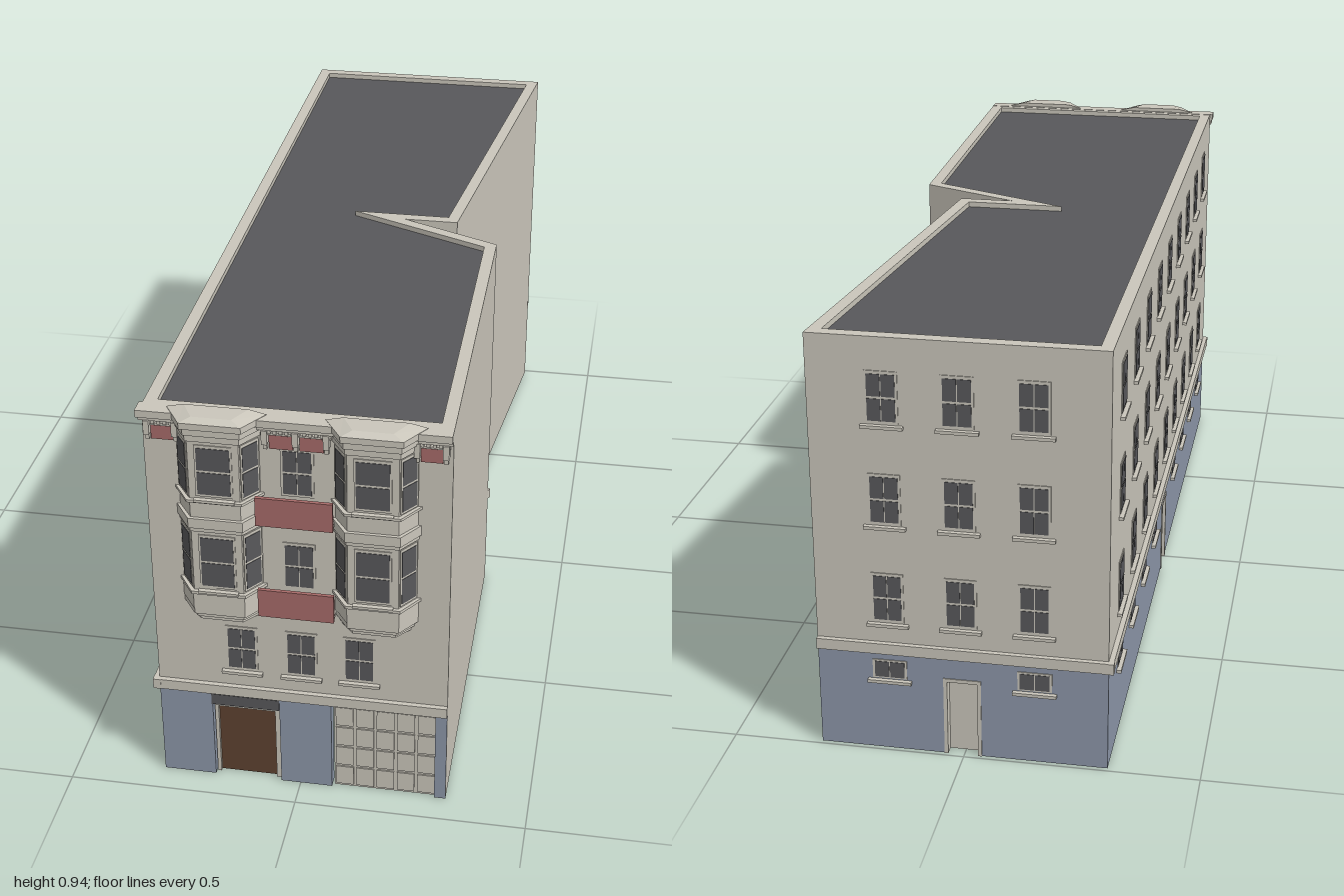
import * as THREE from 'three';

const mat = (name, color, extra = {}) => Object.assign(new THREE.MeshStandardMaterial({ color, ...extra }), { name });

export function createModel() {
  const cream = mat('cream plaster', 0xcac6bb);
  const blue = mat('blue base', 0x8c96a8);
  const dark = mat('dark glass and roof', 0x58585b);
  const red = mat('red panel', 0xa76b69);
  const brown = mat('brown wood', 0x5e4230);
  const root = new THREE.Group();
  root.name = 'building';
  const T = 0.027, BASE = 0.23, TOP = 0.93;

  const add = (parent, name, geo, m) => {
    const mesh = new THREE.Mesh(geo, m);
    mesh.name = name;
    parent.add(mesh);
    return mesh;
  };
  // box given by its limits
  const box = (parent, name, m, x0, x1, y0, y1, z0, z1) => {
    const b = add(parent, name, new THREE.BoxGeometry(x1 - x0, y1 - y0, z1 - z0), m);
    b.position.set((x0 + x1) / 2, (y0 + y1) / 2, (z0 + z1) / 2);
    return b;
  };
  const group = (parent, name, x = 0, y = 0, z = 0, ry = 0) => {
    const g = new THREE.Group();
    g.name = name;
    g.position.set(x, y, z);
    g.rotation.y = ry;
    parent.add(g);
    return g;
  };

  // sash window: frame, dark panes, sill
  function win(parent, x, y, w, h, cols = 2, rows = 2, sill = true) {
    const g = group(parent, 'window', x, y, 0);
    box(g, 'windowFrame', cream, -w / 2 - 0.004, w / 2 + 0.004, -0.003, h + 0.004, -0.004, 0.002);
    const cw = w / cols, ch = h / rows, gx = cols > 1 ? 0.001 : 0, gy = rows > 1 ? 0.0025 : 0;
    for (let i = 0; i < cols; i++) for (let j = 0; j < rows; j++)
      box(g, 'pane', dark, -w / 2 + i * cw + gx, -w / 2 + (i + 1) * cw - gx, j * ch + gy, (j + 1) * ch - gy, 0, 0.003);
    if (sill) box(g, 'sill', cream, -w / 2 - 0.014, w / 2 + 0.014, -0.013, -0.006, -0.002, 0.01);
  }

  // plan outline as [x, z]; every edge faces outward
  const P = [[-0.305, 0.935], [0.32, 0.935], [0.31, 0.085], [0.08, -0.02], [0.205, -0.02], [0.31, -0.99], [-0.305, -0.99]]
    .map(p => new THREE.Vector2(...p));
  const N = P.length;
  const dir = P.map((p, i) => P[(i + 1) % N].clone().sub(p).normalize());
  const nor = dir.map(d => new THREE.Vector2(-d.y, d.x));
  const inner = P.map((p, i) => {
    const a = nor[(i + N - 1) % N], b = nor[i];
    return p.clone().addScaledVector(a.clone().add(b), -T / (1 + a.dot(b)));
  });

  // mitred wall slab with door notches [centre, width, height]
  function slab(parent, name, i, y0, y1, m, doors = []) {
    const j = (i + 1) % N, L = P[i].distanceTo(P[j]);
    const sA = inner[i].clone().sub(P[i]).dot(dir[i]), sB = inner[j].clone().sub(P[j]).dot(dir[i]);
    const pts = [[0, y0]];
    for (const [c, w, h] of doors) pts.push([c - w / 2, y0], [c - w / 2, h], [c + w / 2, h], [c + w / 2, y0]);
    pts.push([L, y0], [L, y1], [0, y1]);
    const geo = new THREE.ExtrudeGeometry(new THREE.Shape(pts.map(p => new THREE.Vector2(...p))), { depth: T, bevelEnabled: false });
    geo.translate(0, 0, -T);
    const a = geo.attributes.position;
    for (let k = 0; k < a.count; k++) if (a.getZ(k) < -T / 2) {
      if (a.getX(k) < 1e-4) a.setX(k, sA);
      else if (a.getX(k) > L - 1e-4) a.setX(k, L + sB);
    }
    geo.computeVertexNormals();
    add(parent, name, geo, m);
    return L;
  }

  // per-edge features: doors, and how far the band runs past each end
  const edges = [
    { name: 'frontWall', doors: [[0.1885, 0.147, 0.222], [0.4875, 0.225, 0.222]], band: [0.012, 0] },
    { name: 'rightFrontWall' },
    { name: 'notchWall', doors: [[0.108, 0.08, 0.19]], band: [0, 0], leaf: dark },
    { name: 'notchReturnWall' },
    { name: 'rightBackWall' },
    { name: 'backWall', doors: [[0.3075, 0.08, 0.18]], band: [0, 0.012], leaf: cream },
    { name: 'leftWall', doors: [[0.957, 0.08, 0.18]], band: [0.012, 0.012], leaf: dark },
  ];
  const walls = edges.map((e, i) => {
    const g = group(root, e.name, P[i].x, 0, P[i].y, Math.atan2(-dir[i].y, dir[i].x));
    if (!e.band) { slab(g, 'plainWall', i, 0, TOP, cream); return g; }
    const L = slab(g, 'baseWall', i, 0, BASE, blue, e.doors);
    slab(g, 'upperWall', i, BASE, TOP, cream);
    box(g, 'band', cream, -e.band[0], L + e.band[1], BASE, 0.254, -0.005, 0.011);
    if (e.leaf) {
      const [c, w, h] = e.doors[0];
      box(g, 'doorLeaf', e.leaf, c - w / 2, c + w / 2, 0, h, -0.026, -0.02);
      for (const s of [-1, 1]) box(g, 'doorJamb', cream, c + s * (w / 2 - 0.004) - 0.004, c + s * (w / 2 - 0.004) + 0.004, 0, h, -0.02, 0.002);
      box(g, 'doorHead', cream, c - w / 2, c + w / 2, h - 0.008, h, -0.02, 0.002);
    }
    return g;
  });

  // side and back windows
  const rows = [0.305, 0.528, 0.75];
  for (const y of rows) {
    win(walls[2], 0.108, y, 0.06, 0.105);
    for (const f of [0.25, 0.5, 0.75]) win(walls[5], 0.615 * f, y, 0.06, 0.105);
    for (let i = 0; i < 9; i++) win(walls[6], 0.165 + 0.198 * i, y, 0.06, 0.105);
  }
  for (const f of [0.25, 0.75]) win(walls[5], 0.615 * f, 0.172, 0.065, 0.036, 2, 1);
  for (let i = 0; i < 9; i++) if (i !== 4) win(walls[6], 0.165 + 0.198 * i, 0.172, 0.065, 0.036, 2, 1);

  // roof deck inside the parapet
  const deck = new THREE.ShapeGeometry(new THREE.Shape(inner.map(p => new THREE.Vector2(p.x, -p.y))));
  const roof = add(root, 'roof', deck, mat('roof deck', 0x58585b, { side: THREE.DoubleSide }));
  roof.rotation.x = -Math.PI / 2;
  roof.position.y = 0.918;

  // front details, measured from the wall face
  const F = group(root, 'frontDetails', 0, 0, 0.935);
  const MID = 0.008;
  for (const x of [-0.12, MID, 0.132]) win(F, x, 0.3, 0.06, 0.105);
  for (const y of [0.525, 0.75]) win(F, MID, y, 0.06, 0.105, 2, 2, false);

  // entrance with transom and an open inner leaf
  const E = group(F, 'entrance');
  box(E, 'frontDoor', brown, -0.18, -0.055, 0, 0.182, -0.025, -0.018);
  box(E, 'doorBacking', cream, -0.19, -0.043, 0, 0.222, -0.03, -0.025);
  box(E, 'doorPostLeft', cream, -0.188, -0.18, 0, 0.195, -0.025, -0.01);
  box(E, 'doorPostRight', cream, -0.055, -0.043, 0, 0.195, -0.025, -0.01);
  box(E, 'doorHead', cream, -0.188, -0.043, 0.182, 0.195, -0.025, -0.01);
  box(E, 'transom', dark, -0.192, -0.043, 0.195, 0.222, -0.025, 0.002);
  box(E, 'openLeaf', brown, -0.196, -0.19, 0, 0.19, -0.13, -0.03);
  box(E, 'leafGlass', dark, -0.197, -0.189, 0.07, 0.165, -0.11, -0.05);

  // garage door with raised panels
  const G = group(F, 'garageDoor');
  box(G, 'garageSheet', cream, 0.075, 0.3, 0, 0.222, -0.02, -0.008);
  for (let i = 0; i < 5; i++) for (let j = 0; j < 4; j++)
    box(G, 'garagePanel', cream, 0.079 + i * 0.0445, 0.117 + i * 0.0445, 0.006 + j * 0.054, 0.054 + j * 0.054, -0.01, -0.005);

  // bay windows: stacked trapezoid layers [y0, y1, growth]
  const layers = [[0.445, 0.456, -0.012], [0.456, 0.467, -0.005], [0.467, 0.48, 0.002], [0.48, 0.9, 0],
    [0.48, 0.52, 0.003], [0.52, 0.527, 0.008], [0.672, 0.682, 0.003], [0.682, 0.705, 0.007], [0.744, 0.75, 0.008],
    [0.885, 0.9, 0.005], [0.9, 0.918, 0.009], [0.918, 0.932, 0.017]];
  const R = 0.084, H = 0.052, D = 0.044;
  const trapezoid = (y0, y1, g) => {
    const r = R + g, h = H + g * 0.6, d = D + g;
    const s = new THREE.Shape([[-r, 0], [r, 0], [h, -d], [-h, -d]].reverse().map(p => new THREE.Vector2(...p)));
    return new THREE.ExtrudeGeometry(s, { depth: y1 - y0, bevelEnabled: false }).rotateX(-Math.PI / 2).translate(0, y0, 0);
  };
  for (const s of [-1, 1]) {
    const B = group(F, 'bay', MID + s * 0.16, 0, 0);
    for (const [y0, y1, g] of layers) add(B, 'bayLayer', trapezoid(y0, y1, g), cream);
    // sloped cap
    const cap = trapezoid(0.932, 0.94, 0.017), a = cap.attributes.position;
    for (let k = 0; k < a.count; k++) if (a.getY(k) > 0.936) { a.setX(k, a.getX(k) * 0.65); a.setZ(k, a.getZ(k) * 0.75); }
    cap.computeVertexNormals();
    add(B, 'bayCap', cap, cream);
    const front = group(B, 'bayFront', 0, 0, D);
    const sides = [-1, 1].map(k => group(B, 'baySide', k * (R + H) / 2, 0, D / 2, k * Math.atan2(D, R - H)));
    for (const [y, h] of [[0.538, 0.122], [0.76, 0.112]]) {
      win(front, 0, y, 0.068, h, 1, 2, false);
      box(front, 'baySill', cream, -0.042, 0.042, y - 0.014, y - 0.008, 0, 0.01);
      for (const g of sides) win(g, 0, y - 0.004, 0.04, h + 0.008, 1, 2, false);
    }
  }

  // balconies between the bays
  for (const y of [0.472, 0.695]) {
    box(F, 'balconyPanel', red, -0.072, 0.086, y, y + 0.066, 0.033, 0.041);
    box(F, 'balconyFloor', cream, -0.07, 0.084, y - 0.003, y + 0.004, 0, 0.036);
  }

  // cornice, dentils, brackets and frieze panels
  box(F, 'cornice', cream, -0.312, 0.32, 0.915, 0.931, -0.01, 0.025);
  box(F, 'corniceMoulding', cream, -0.309, 0.32, 0.903, 0.915, -0.01, 0.014);
  for (const [x0, x1] of [[-0.3, -0.237], [-0.063, 0.079], [0.253, 0.314]]) {
    box(F, 'friezeRail', cream, x0, x1, 0.89, 0.895, 0, 0.008);
    const n = Math.round((x1 - x0) / 0.0115);
    for (let i = 0; i < n; i++) {
      const x = x0 + (i + 0.5) * (x1 - x0) / n;
      box(F, 'dentil', cream, x - 0.0035, x + 0.0035, 0.895, 0.904, 0, 0.012);
    }
  }
  for (const [x0, x1] of [[-0.287, -0.24], [-0.047, 0.001], [0.015, 0.063], [0.256, 0.3]])
    box(F, 'friezePanel', red, x0, x1, 0.857, 0.888, -0.002, 0.005);
  for (const x of [-0.293, -0.236, -0.054, MID, 0.07, 0.25, 0.307]) {
    box(F, 'bracket', cream, x - 0.006, x + 0.006, 0.872, 0.904, 0, 0.018);
    box(F, 'bracketFoot', cream, x - 0.004, x + 0.004, 0.858, 0.872, 0, 0.01);
  }
  return root;
}
